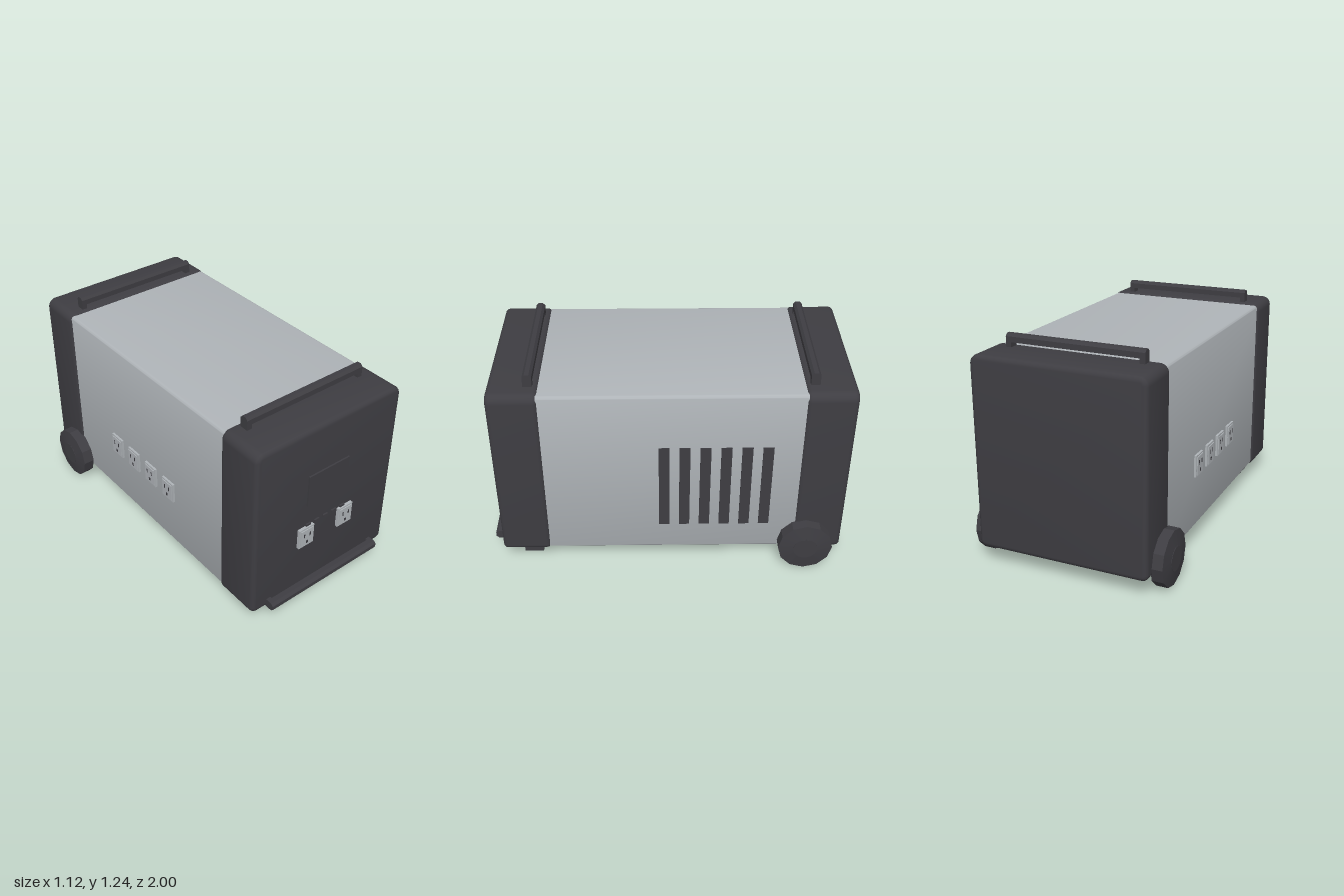
import * as THREE from 'three';
import { toCreasedNormals } from 'three/addons/utils/BufferGeometryUtils.js';

export function createModel() {
  const model = new THREE.Group();
  model.name = 'portablePowerStation';

  const dark = new THREE.MeshStandardMaterial({ color: 0x3e3d42 });
  dark.name = 'charcoal plastic';
  const light = new THREE.MeshStandardMaterial({ color: 0xaeb3b7 });
  light.name = 'silver grey';

  function add(parent, name, geometry, material, x = 0, y = 0, z = 0) {
    const mesh = new THREE.Mesh(geometry, material);
    mesh.name = name;
    mesh.position.set(x, y, z);
    parent.add(mesh);
    return mesh;
  }
  const box = (w, h, d) => new THREE.BoxGeometry(w, h, d);

  // Rounded rectangle extruded along z and centred, with softened end edges
  function slab(w, h, d, rTop, rBottom, bevel) {
    const s = new THREE.Shape();
    const x = w / 2, y = h / 2;
    s.moveTo(-x + rBottom, -y);
    s.lineTo(x - rBottom, -y);
    s.absarc(x - rBottom, -y + rBottom, rBottom, -Math.PI / 2, 0);
    s.absarc(x - rTop, y - rTop, rTop, 0, Math.PI / 2);
    s.absarc(-x + rTop, y - rTop, rTop, Math.PI / 2, Math.PI);
    s.absarc(-x + rBottom, -y + rBottom, rBottom, Math.PI, Math.PI * 1.5);
    const g = new THREE.ExtrudeGeometry(s, {
      depth: d - 2 * bevel, curveSegments: 4, bevelEnabled: bevel > 0,
      bevelThickness: bevel, bevelSize: bevel, bevelOffset: -bevel, bevelSegments: 3,
    });
    g.translate(0, 0, bevel - d / 2);
    return toCreasedNormals(g, 0.7);
  }

  // Main housing and end caps
  add(model, 'body', slab(0.96, 1.05, 1.46, 0.025, 0.025, 0), light, 0, 0.63, -0.028);
  add(model, 'frontCap', slab(0.98, 1.065, 0.275, 0.05, 0.035, 0.025), dark, 0, 0.6325, 0.8075);
  add(model, 'backCap', slab(0.98, 1.065, 0.275, 0.05, 0.035, 0.025), dark, 0, 0.6325, -0.8625);

  // Handle: chamfered bar on two posts, rising along +y from its origin
  function handle(name, height) {
    const group = new THREE.Group();
    group.name = name;
    const section = new THREE.Shape([
      [-0.025, -0.022], [0.025, -0.022], [0.025, 0.008], [0.012, 0.022], [-0.012, 0.022], [-0.025, 0.008],
    ].map(([x, y]) => new THREE.Vector2(x, y)));
    const bar = new THREE.ExtrudeGeometry(section, { depth: 0.78, bevelEnabled: false });
    bar.translate(0, 0, -0.39);
    bar.rotateY(Math.PI / 2);
    add(group, 'handleBar', bar, dark, 0, height - 0.022, 0);
    for (const side of [-1, 1]) {
      add(group, 'handlePost', box(0.03, height - 0.01, 0.05), dark, side * 0.375, (height - 0.03) / 2, 0);
    }
    model.add(group);
    return group;
  }
  handle('frontHandle', 0.07).position.set(0, 1.165, 0.727);
  handle('backHandle', 0.07).position.set(0, 1.165, -0.777);
  const lower = handle('lowerPullHandle', 0.055);
  lower.rotation.x = Math.PI / 2;
  lower.position.set(0, 0.13, 0.945);

  // Front foot
  add(model, 'foot', box(0.79, 0.11, 0.11), dark, 0, 0.055, 0.785);

  // Wheels: faceted tyre with domed sides and a round hub
  const profile = [[0, -0.045], [0.07, -0.045], [0.155, -0.033], [0.155, 0.033], [0.07, 0.045], [0, 0.045]]
    .map(([r, y]) => new THREE.Vector2(r, y));
  const tyre = toCreasedNormals(new THREE.LatheGeometry(profile, 12), 0.1);
  for (const side of [-1, 1]) {
    const wheel = new THREE.Group();
    wheel.name = side > 0 ? 'leftWheel' : 'rightWheel';
    add(wheel, 'tyre', tyre, dark);
    add(wheel, 'hub', new THREE.CylinderGeometry(0.068, 0.068, 0.006, 24), dark, 0, 0.044, 0);
    wheel.rotation.z = -side * Math.PI / 2;
    wheel.position.set(side * 0.515, 0.155, -0.79);
    model.add(wheel);
  }

  // Socket plate facing +z, with two blade slots and an earth hole
  function socket(name) {
    const group = new THREE.Group();
    group.name = name;
    add(group, 'plate', box(0.102, 0.125, 0.02), light);
    add(group, 'raisedFace', box(0.085, 0.105, 0.006), light, 0, 0, 0.012);
    for (const x of [-0.02, 0.02]) add(group, 'bladeSlot', box(0.007, 0.026, 0.004), dark, x, 0.017, 0.0145);
    add(group, 'earthHole', box(0.013, 0.018, 0.004), dark, 0, -0.03, 0.0145);
    model.add(group);
    return group;
  }
  for (const x of [-0.14, 0.14]) socket('frontSocket').position.set(x, 0.479, 0.952);
  for (let i = 0; i < 4; i++) {
    const s = socket('sideSocket');
    s.rotation.y = -Math.PI / 2;
    s.position.set(-0.483, 0.479, -0.303 + i * 0.169);
  }

  // Display and row of buttons
  add(model, 'display', box(0.28, 0.195, 0.016), dark, 0, 0.7775, 0.946);
  for (let i = -2; i <= 2; i++) {
    add(model, 'button', box(0.032, 0.015, 0.014), dark, i * 0.0615, 0.546, 0.947);
  }

  // Cooling vents on the left side
  for (let i = 0; i < 6; i++) {
    add(model, 'vent', box(0.008, 0.54, 0.059), dark, 0.48, 0.555, 0.016 - i * 0.1126);
  }

  return model;
}
